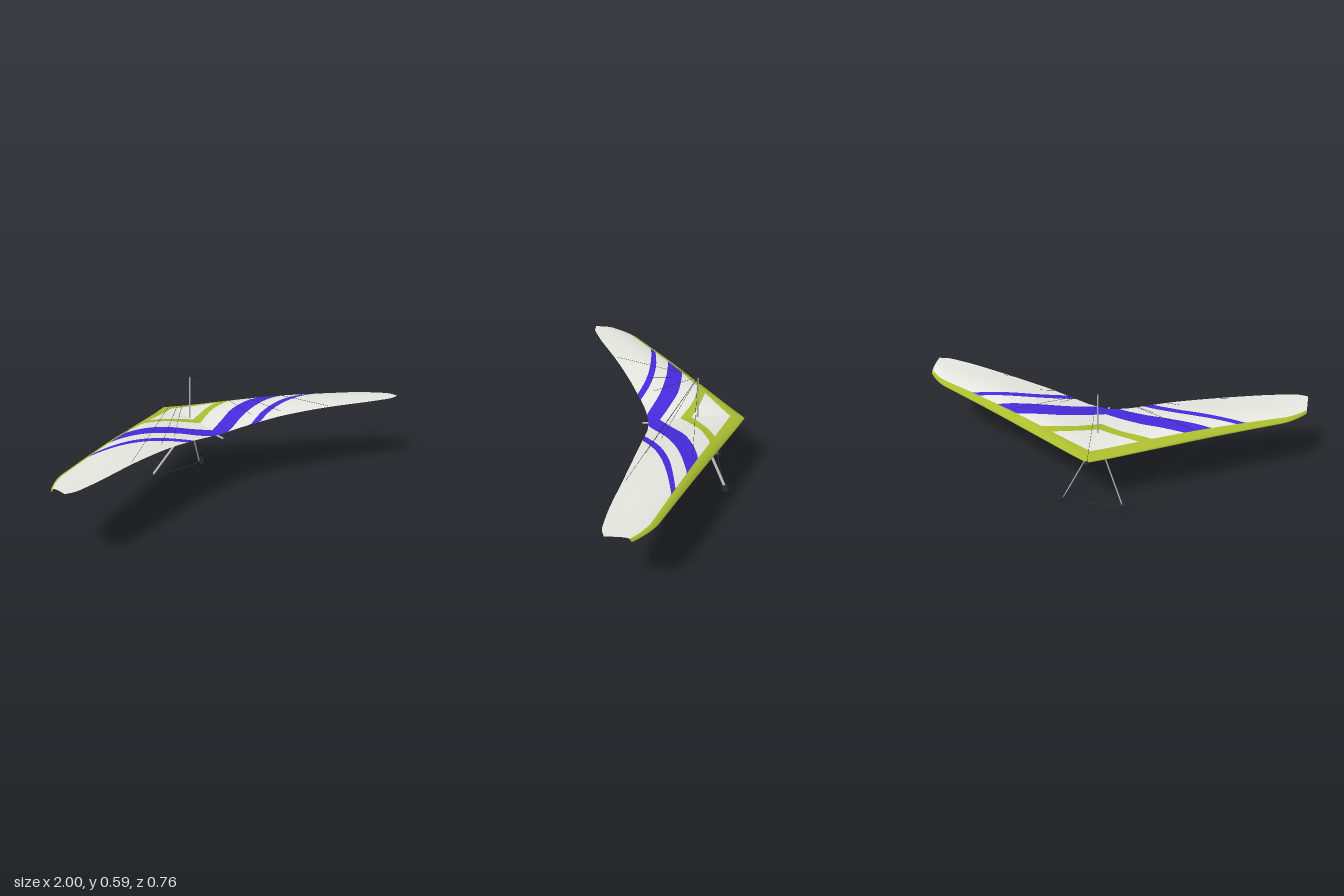
import * as THREE from 'three';
import { mergeVertices } from 'three/addons/utils/BufferGeometryUtils.js';

const mat = (name, color, side = THREE.FrontSide) => {
  const m = new THREE.MeshStandardMaterial({ color, side });
  m.name = name;
  return m;
};
const V = (x, y, z) => new THREE.Vector3(x, y, z);

// Smooth interpolation through [x, value] points, held constant past the ends
function curve(pts) {
  const n = pts.length - 1;
  const slope = (i) => {
    const a = pts[Math.max(0, i - 1)], b = pts[Math.min(n, i + 1)];
    return (b[1] - a[1]) / (b[0] - a[0]);
  };
  return (x) => {
    if (x <= pts[0][0]) return pts[0][1];
    if (x >= pts[n][0]) return pts[n][1];
    let i = 0;
    while (x > pts[i + 1][0]) i++;
    const h = pts[i + 1][0] - pts[i][0], t = (x - pts[i][0]) / h, t2 = t * t, t3 = t2 * t;
    return (2 * t3 - 3 * t2 + 1) * pts[i][1] + (t3 - 2 * t2 + t) * h * slope(i)
      + (3 * t2 - 2 * t3) * pts[i + 1][1] + (t3 - t2) * h * slope(i + 1);
  };
}

// Sail outline and heights along the half span
const leadZ = (x) => -0.36 + 0.56 * x + 0.05 * Math.max(0, (x - 0.88) / 0.12) ** 2;
const trailZ = curve([[0, 0.13], [0.1, 0.14], [0.2, 0.165], [0.4, 0.22], [0.6, 0.28], [0.8, 0.345], [0.9, 0.371], [0.95, 0.381], [1, 0.374]]);
const leadY = curve([[0, 0.334], [0.1, 0.336], [0.3, 0.346], [0.6, 0.36], [1, 0.369]]);
const trailY = curve([[0, 0.342], [0.1, 0.352], [0.2, 0.367], [0.35, 0.386], [0.6, 0.399], [1, 0.4]]);
const camber = curve([[0, 0.012], [0.25, 0.023], [0.45, 0.027], [0.65, 0.021], [0.85, 0.013], [1, 0.009]]);

// Front and rear edges of the painted bands
const edgeWidth = curve([[0, 0.076], [0.25, 0.057], [0.5, 0.043], [0.75, 0.034], [0.9, 0.027], [1, 0.016]]);
const pocketWidth = (x) => 1.4 * edgeWidth(x);
const chevronFront = curve([[0, -0.088], [0.07, -0.124], [0.14, -0.155], [0.24, -0.188]]);
const chevronBack = curve([[0, -0.03], [0.07, -0.075], [0.14, -0.112], [0.3, -0.158]]);
const wideFront = curve([[0, 0.072], [0.1, 0.018], [0.2, -0.033], [0.3, -0.06], [0.4, -0.075], [0.55, -0.082]]);
const wideBack = curve([[0, 0.16], [0.1, 0.112], [0.2, 0.062], [0.3, 0.028], [0.4, 0.005], [0.55, -0.014]]);
const thinFront = curve([[0.1, 0.21], [0.2, 0.147], [0.3, 0.1], [0.4, 0.071], [0.5, 0.056], [0.7, 0.048]]);
const thinBack = curve([[0.1, 0.25], [0.2, 0.187], [0.3, 0.138], [0.4, 0.105], [0.55, 0.081], [0.72, 0.07]]);
const BAND_COLOURS = [1, 0, 1, 0, 2, 0, 2, 0]; // 0 white, 1 green, 2 blue
const SUB = 8;

function sectionZ(x, side) {
  const le = leadZ(x), te = trailZ(x);
  const knots = [le, le + (side > 0 ? edgeWidth(x) : pocketWidth(x)), chevronFront(x), chevronBack(x),
    wideFront(x), wideBack(x), thinFront(x), thinBack(x), te];
  for (let i = 1; i < knots.length; i++) knots[i] = Math.min(te, Math.max(knots[i], knots[i - 1]));
  const zs = [le];
  for (let b = 0; b < 8; b++) for (let k = 1; k <= SUB; k++) {
    const f = b === 0 ? (k / SUB) ** 1.6 : k / SUB;
    zs.push(knots[b] + (knots[b + 1] - knots[b]) * f);
  }
  return zs;
}

// Cambered upper skin, and a lower skin that bulges down in the leading-edge pocket
function sailY(x, z, side) {
  const d = z - leadZ(x), t = Math.min(1, d / (trailZ(x) - leadZ(x))), w = pocketWidth(x);
  const chord = leadY(x) + (trailY(x) - leadY(x)) * t;
  const round = 0.012 * (1 - 0.5 * x ** 4) * Math.sqrt(Math.max(0, Math.min(1, d / (0.4 * w))));
  const upper = chord + camber(x) * Math.sin(Math.PI * t ** 0.7) + 0.65 * round * (1 - t);
  if (side > 0) return upper;
  const pocket = 1 - THREE.MathUtils.smoothstep(d, 0.45 * w, w);
  return THREE.MathUtils.lerp(upper - 0.1 * round, chord - round, pocket);
}

// One half of the sail; s is +1 or -1
function sailHalf(s) {
  const cols = 60, rows = 8 * SUB + 1, pos = [], faces = [[], [], []];
  const quad = (list, a, b, c, d, flip) => flip ? list.push(a, c, b, b, c, d) : list.push(a, b, c, b, d, c);
  for (const side of [1, -1]) {
    const base = pos.length / 3;
    for (let i = 0; i <= cols; i++) {
      const x = i / cols;
      for (const z of sectionZ(x, side)) pos.push(s * x, sailY(x, z, side), z);
    }
    for (let i = 0; i < cols; i++) for (let j = 0; j < rows - 1; j++) {
      const a = base + i * rows + j;
      quad(faces[BAND_COLOURS[Math.floor(j / SUB)]], a, a + 1, a + rows, a + rows + 1, s * side < 0);
    }
  }
  // Tip rib closing the outer end
  const cap = pos.length / 3;
  for (const z of sectionZ(1, -1)) for (const side of [1, -1]) pos.push(s * 1.00005, sailY(1, z, side), z);
  for (let j = 0; j < rows - 1; j++) {
    const a = cap + 2 * j;
    quad(faces[j < SUB ? 1 : 0], a, a + 2, a + 1, a + 3, s < 0);
  }
  let g = new THREE.BufferGeometry();
  g.setAttribute('position', new THREE.Float32BufferAttribute(pos, 3));
  g.setIndex(faces.flat());
  g = mergeVertices(g, 1e-5);
  let start = 0;
  faces.forEach((f, m) => { g.addGroup(start, f.length, m); start += f.length; });
  g.computeVertexNormals();
  return g;
}

export function createModel() {
  const model = new THREE.Group();
  const sailMats = [mat('sail white', 0xf4f4ee, THREE.DoubleSide), mat('sail green', 0xabbd2f, THREE.DoubleSide), mat('sail blue', 0x462bdc, THREE.DoubleSide)];
  const metal = mat('tube grey', 0xb0b4ba);
  const dark = mat('fitting black', 0x2a2b32);

  const add = (name, geo, m, p = V(0, 0, 0), parent = model) => {
    const mesh = new THREE.Mesh(geo, m);
    mesh.name = name;
    mesh.position.copy(p);
    parent.add(mesh);
    return mesh;
  };
  const rod = (name, a, b, r, m, sides = 12) => {
    const mesh = add(name, new THREE.CylinderGeometry(r, r, a.distanceTo(b), sides), m, a.clone().add(b).multiplyScalar(0.5));
    mesh.quaternion.setFromUnitVectors(V(0, 1, 0), b.clone().sub(a).normalize());
    return mesh;
  };
  const wire = (name, a, b) => rod(name, a, b, 0.0008, dark, 6);
  const blob = (name, p, rx, ry, rz) => add(name, new THREE.SphereGeometry(1, 16, 10), dark, p).scale.set(rx, ry, rz);

  // Keel, nose and mast
  const mastTop = V(0, 0.583, -0.118), nose = V(0, 0.335, -0.362);
  rod('keel', V(0, 0.331, 0.16), V(0, 0.331, -0.36), 0.005, metal);
  blob('noseCap', V(0, 0.335, -0.366), 0.01, 0.009, 0.014);
  rod('mast', V(0, 0.331, -0.118), mastTop, 0.004, metal);
  blob('mastCap', mastTop, 0.006, 0.007, 0.006);
  rod('keelBracket', V(0, 0.334, -0.118), V(0, 0.306, -0.12), 0.004, metal);
  wire('noseTopWire', mastTop, nose);

  // Hang loop below the keel
  const loop = add('hangLoop', new THREE.TorusGeometry(0.007, 0.0016, 8, 20), dark, V(0, 0.313, -0.097));
  loop.rotation.y = Math.PI / 2;
  loop.scale.set(0.8, 1.5, 1);
  rod('hangStrap', V(0, 0.338, -0.096), V(0, 0.321, -0.097), 0.006, dark);

  for (const s of [1, -1]) {
    const side = s > 0 ? 'left' : 'right';
    add(side + 'Sail', sailHalf(s), sailMats);
    rod(side + 'CrossBar', V(0, 0.336, -0.1), V(s * 0.53, 0.36, -0.035), 0.005, metal);
    blob(side + 'LeadingTubeEnd', V(s * 0.965, 0.36, 0.222), 0.006, 0.005, 0.011);

    // Streamlined downtube of the control frame
    const corner = V(s * 0.152, 0.024, -0.246);
    const tube = rod(side + 'Downtube', corner, V(s * 0.004, 0.312, -0.12), 0.003, metal, 16);
    tube.geometry.scale(1, 1, 2.4);
    blob(side + 'FrameCorner', corner, 0.009, 0.009, 0.009);

    // Wheel with rim, hub and spokes
    const wheel = new THREE.Group();
    wheel.name = side + 'Wheel';
    wheel.position.set(s * 0.166, 0.0215, -0.247);
    wheel.rotation.y = Math.PI / 2;
    model.add(wheel);
    add('tyre', new THREE.TorusGeometry(0.0165, 0.0045, 10, 32), dark, V(0, 0, 0), wheel);
    add('hub', new THREE.CylinderGeometry(0.005, 0.005, 0.012, 16), dark, V(0, 0, 0), wheel).rotation.x = Math.PI / 2;
    for (let k = 0; k < 3; k++)
      add('spoke', new THREE.BoxGeometry(0.032, 0.003, 0.004), dark, V(0, 0, 0), wheel).rotation.z = k * Math.PI / 3;
    rod(side + 'Axle', corner, V(s * 0.17, 0.0215, -0.247), 0.003, dark);

    // Upper rigging, ending on the sail
    for (const [x, z] of [[0.6, 0.267], [0.37, 0.165], [0.24, 0.085], [0.46, -0.045]])
      wire(side + 'TopWire', mastTop, V(s * x, sailY(x, z, 1), z));
    // Lower rigging
    wire(side + 'NoseWire', corner, nose);
    wire(side + 'TailWire', corner, V(0, 0.331, 0.153));
    wire(side + 'SideWireFront', corner, V(s * 0.53, 0.358, -0.05));
    wire(side + 'SideWireRear', corner, V(s * 0.58, 0.362, -0.025));
  }

  // Curved base bar between the wheels
  const bar = new THREE.CatmullRomCurve3([[-0.152, 0.024], [-0.125, 0.014], [-0.07, 0.012], [0, 0.011], [0.07, 0.012], [0.125, 0.014], [0.152, 0.024]]
    .map(([x, y]) => V(x, y, -0.246)));
  add('baseBar', new THREE.TubeGeometry(bar, 40, 0.003, 10), dark);
  return model;
}
